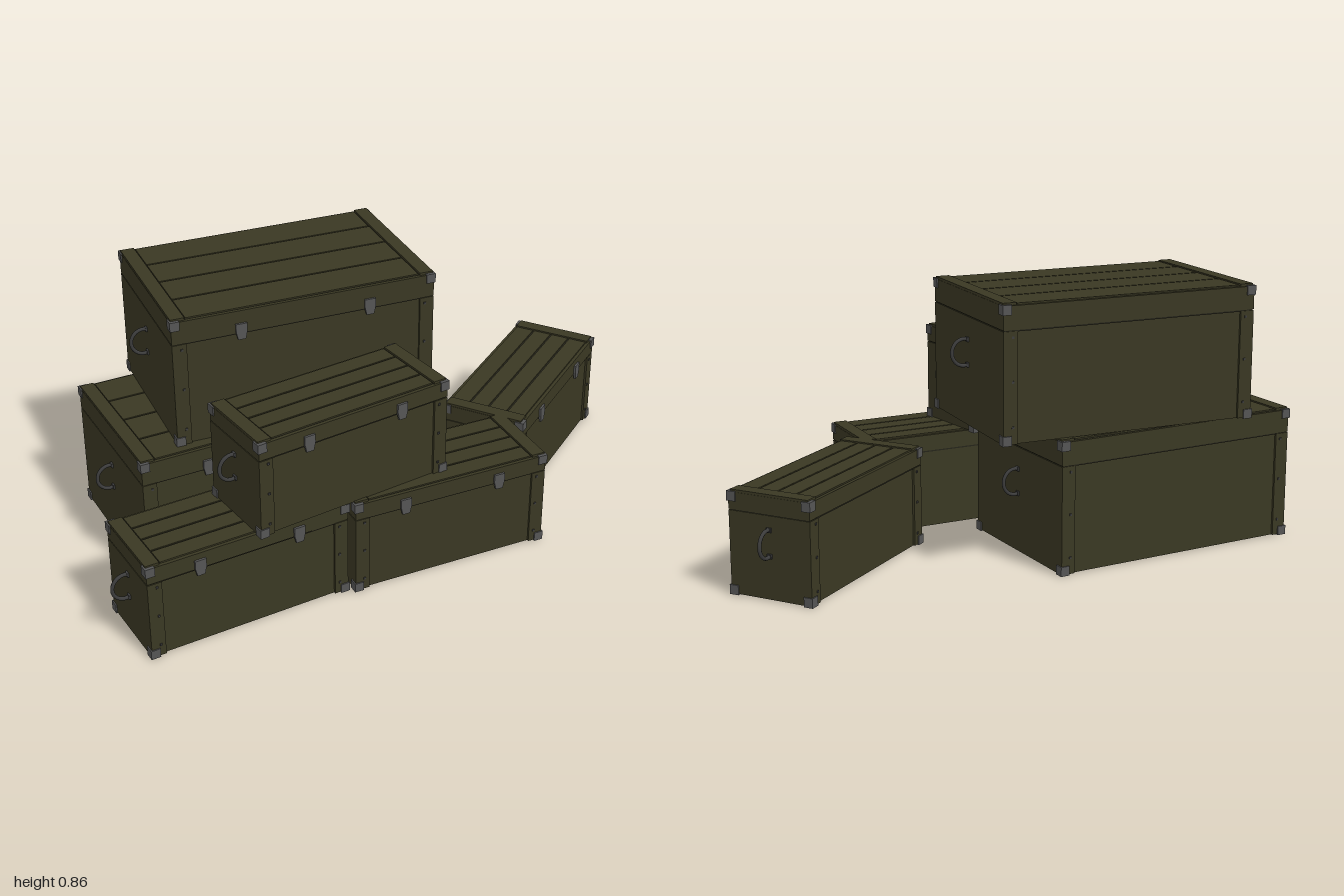
import * as THREE from 'three';

const paint = new THREE.MeshStandardMaterial({ color: 0x3a3823, name: 'olive paint' });
const seam = new THREE.MeshStandardMaterial({ color: 0x25241a, name: 'dark seam' });
const steel = new THREE.MeshStandardMaterial({ color: 0x555555, name: 'grey steel' });
const iron = new THREE.MeshStandardMaterial({ color: 0x3c3c3c, name: 'dark iron' });

function add(parent, name, geometry, material, x, y, z) {
  const mesh = new THREE.Mesh(geometry, material);
  mesh.name = name;
  mesh.position.set(x, y, z);
  parent.add(mesh);
  return mesh;
}

function box(parent, name, material, w, h, d, x, y, z) {
  return add(parent, name, new THREE.BoxGeometry(w, h, d), material, x, y, z);
}

// Tapered latch plate
function latchGeometry() {
  const s = new THREE.Shape();
  s.moveTo(-0.018, 0.026);
  s.lineTo(-0.018, 0);
  s.lineTo(-0.012, -0.026);
  s.lineTo(0.012, -0.026);
  s.lineTo(0.018, 0);
  s.lineTo(0.018, 0.026);
  return new THREE.ExtrudeGeometry(s, { depth: 0.008, bevelEnabled: false });
}

// Bail handle standing out from the end board towards +x
function handleGeometry() {
  const pts = [];
  for (let i = 0; i <= 12; i++) {
    const a = -1.9 + (3.8 * i) / 12;
    pts.push(new THREE.Vector3(0.013 + 0.04 * Math.cos(a), 0.042 * Math.sin(a), 0));
  }
  return new THREE.TubeGeometry(new THREE.CatmullRomCurve3(pts), 24, 0.006, 8);
}

function makeCrate(name, L, H, W, lidH) {
  const crate = new THREE.Group();
  crate.name = name;
  const l = L - 0.008, w = W - 0.008;
  const top = H - 0.008, lidY = top - lidH;
  const post = 0.046, inset = 0.007;

  // Body: recessed long boards held between two full end boards
  const bodyH = lidY - 0.002;
  box(crate, 'body', paint, l - 2 * post, bodyH - 0.002, w - 2 * inset, 0, bodyH / 2 + 0.002, 0);
  for (const sx of [-1, 1]) {
    box(crate, 'endBoard', paint, post, bodyH - 0.002, w, sx * (l - post) / 2, bodyH / 2 + 0.002, 0);
  }

  // Lid with a dark joint under it
  box(crate, 'lidJoint', seam, l - 0.006, 0.006, w - 0.006, 0, lidY, 0);
  box(crate, 'lid', paint, l, lidH - 0.002, w, 0, lidY + lidH / 2 + 0.001, 0);

  // Lid planks with dark gaps between them, and end battens
  const span = l - 2 * post - 0.006, n = 4, gap = 0.006, deckW = w - 0.022;
  box(crate, 'plankGaps', seam, l - 0.016, 0.002, deckW, 0, top + 0.001, 0);
  const pw = (deckW - gap * (n - 1)) / n;
  for (let i = 0; i < n; i++) {
    box(crate, 'lidPlank', paint, span, 0.005, pw, 0, top + 0.0025, (i - (n - 1) / 2) * (pw + gap));
  }
  for (const sx of [-1, 1]) {
    box(crate, 'lidBatten', paint, post - 0.002, 0.008, w - 0.014, sx * (l - post) / 2, top + 0.004, 0);
  }

  // Steel corner brackets
  const b = 0.03;
  for (const sx of [-1, 1]) for (const sz of [-1, 1]) for (const y of [b / 2, top + 0.003 - b / 2]) {
    box(crate, 'cornerBracket', steel, b, b, b, sx * (L - b) / 2, y, sz * (W - b) / 2);
  }

  // Rivets on the posts
  for (const sx of [-1, 1]) for (const sz of [-1, 1]) for (const t of [0.16, 0.56, 0.95]) {
    box(crate, 'rivet', iron, 0.007, 0.007, 0.006, sx * (l / 2 - 0.03), bodyH * t, sz * w / 2);
  }

  // Latches on the front
  for (const sx of [-1, 1]) {
    add(crate, 'latch', latchGeometry(), steel, sx * L * 0.243, lidY + 0.008, w / 2 - 0.001);
  }

  // Carrying handles on both ends
  for (const sx of [-1, 1]) {
    const handle = add(crate, 'handle', handleGeometry(), iron, sx * l / 2, H * 0.547, 0);
    if (sx < 0) handle.rotation.y = Math.PI;
    for (const sy of [-1, 1]) {
      box(crate, 'handleMount', iron, 0.008, 0.014, 0.016, sx * (l / 2 + 0.002), H * 0.547 + sy * 0.04, 0);
    }
  }
  return crate;
}

export function createModel() {
  const model = new THREE.Group();
  model.name = 'crateStack';
  const small = [0.67, 0.325, 0.288, 0.055];
  const large = [0.86, 0.43, 0.546, 0.075];

  // name, size, x, y, z, turn about the vertical axis
  const layout = [
    ['leftCrate', small, -0.61, 0, 0.302, 0.042],
    ['middleCrate', small, 0.08, 0, 0.322, -0.045],
    ['rightCrate', small, 0.635, 0, -0.022, 0.61],
    ['upperSmallCrate', small, -0.265, 0.32, 0.3, 0.1],
    ['largeLowerCrate', large, -0.37, 0, -0.178, 0],
    ['largeUpperCrate', large, -0.21, 0.426, -0.181, -0.09],
  ];
  for (const [name, size, x, y, z, turn] of layout) {
    const crate = makeCrate(name, ...size);
    crate.position.set(x, y, z);
    crate.rotation.y = turn;
    model.add(crate);
  }
  return model;
}
